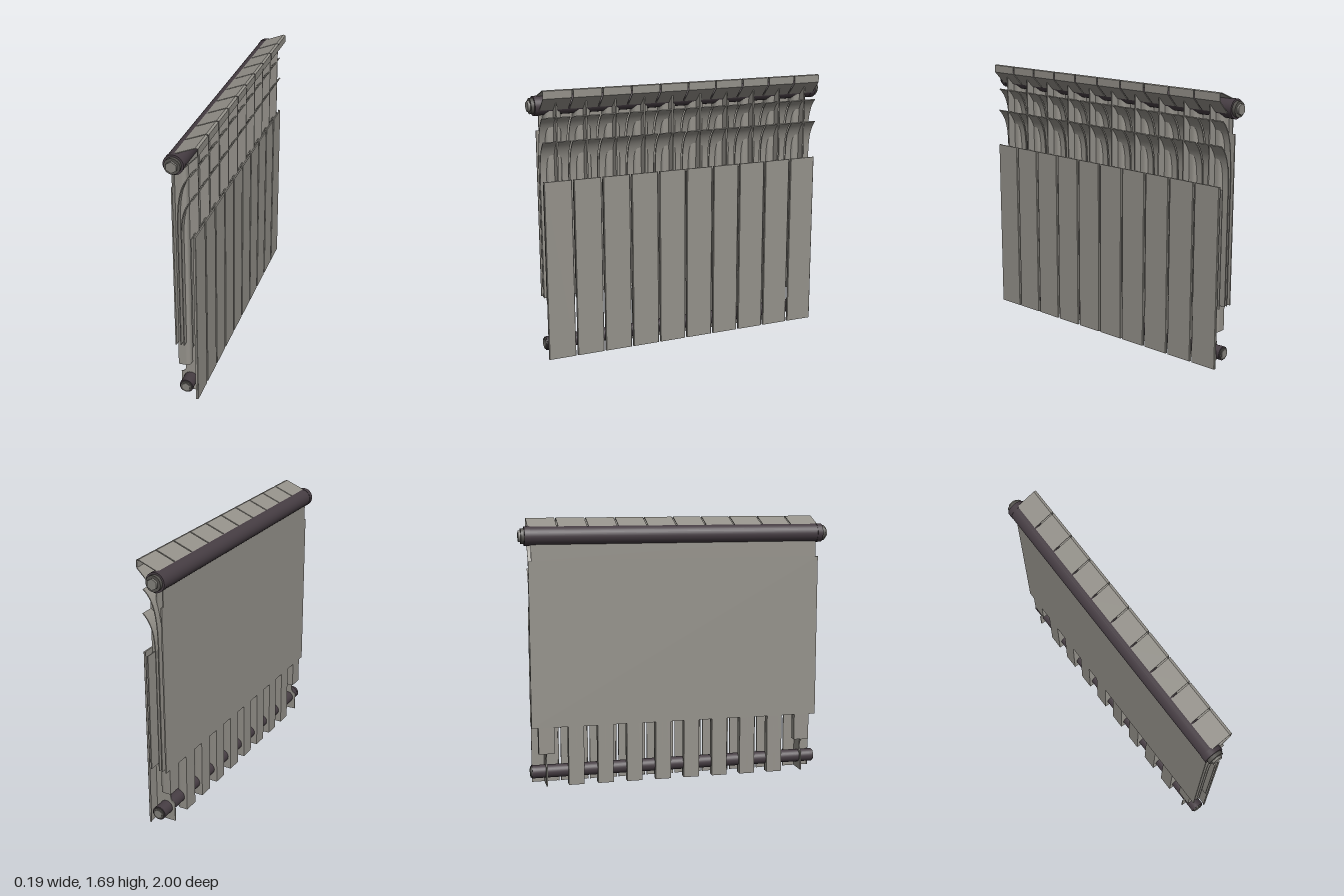
import * as THREE from 'three';
import { toCreasedNormals } from 'three/addons/utils/BufferGeometryUtils.js';

const V = (x, y) => new THREE.Vector2(x, y);
const COUNT = 10, PITCH = 0.189, WIDTH = 0.178;

// Extrude an (x, y) outline along z, centred on z = 0
function slab(points, width) {
  const g = new THREE.ExtrudeGeometry(new THREE.Shape(points), { depth: width, bevelEnabled: false });
  g.translate(0, 0, -width / 2);
  return toCreasedNormals(g, 0.5);
}

// Thin sheet of thickness t following an open (x, y) path
function sheet(points, t, width) {
  const a = [], b = [];
  points.forEach((p, i) => {
    const d = points[Math.min(i + 1, points.length - 1)].clone().sub(points[Math.max(i - 1, 0)]).normalize();
    a.push(V(p.x - d.y * t / 2, p.y + d.x * t / 2));
    b.push(V(p.x + d.y * t / 2, p.y - d.x * t / 2));
  });
  return slab([...a, ...b.reverse()], width);
}

// Extrude a plan outline (drawn as z, x) upwards from y0 to y1
function upright(plan, y0, y1) {
  const g = new THREE.ExtrudeGeometry(plan, { depth: y1 - y0, bevelEnabled: false, curveSegments: 6 });
  g.rotateX(-Math.PI / 2).rotateY(-Math.PI / 2).translate(0, y0, 0);
  return toCreasedNormals(g, 0.6);
}

export function createModel() {
  const model = new THREE.Group();
  model.name = 'radiator';
  const material = (name, color) => {
    const m = new THREE.MeshStandardMaterial({ color });
    m.name = name;
    return m;
  };
  const enamel = material('warm grey enamel', 0x94918a);
  const pipe = material('dark pipe', 0x463d43);
  const fitting = material('fitting grey', 0x55534f);
  const plugMat = material('plug grey', 0x85837d);

  const add = (parent, name, geo, mat, x = 0, y = 0, z = 0) => {
    const m = new THREE.Mesh(geo, mat);
    m.name = name;
    m.position.set(x, y, z);
    parent.add(m);
  };

  // Louver: curls from a vertical fin out to the front lip
  const louver = (xFin, yStart, xLip, yLip) => {
    const curve = new THREE.CubicBezierCurve(V(xFin, yStart),
      V(xFin, (yStart + yLip) / 2), V(xFin + 0.013, yLip - 0.058), V(xLip, yLip));
    return sheet([V(xFin, 0.38), ...curve.getPoints(14)], 0.006, WIDTH);
  };

  // Centre web with a small notch at the lower back
  const notch = new THREE.EllipseCurve(-0.06, 0.165, 0.03, 0.042, -Math.PI / 2, Math.PI / 2).getPoints(8).reverse();
  const web = slab([V(-0.06, 0), V(0.068, 0), V(0.068, 1.61), V(0.02, 1.56), V(-0.06, 1.56), ...notch], 0.008);

  // Vertical water channel, rounded at the front
  const plan = new THREE.Shape();
  plan.moveTo(-0.05, -0.06);
  plan.lineTo(0.05, -0.06);
  plan.lineTo(0.05, -0.015);
  plan.quadraticCurveTo(0.05, 0.013, 0.02, 0.013);
  plan.lineTo(-0.02, 0.013);
  plan.quadraticCurveTo(-0.05, 0.013, -0.05, -0.015);
  plan.closePath();
  const channel = upright(plan, 0, 1.56);
  const endChannel = upright(plan, 0.21, 1.56);

  // Front plate with slightly turned-back edges
  const front = upright(new THREE.Shape([V(-0.088, 0.06), V(-0.083, 0.06), V(-0.083, 0.066), V(0.083, 0.066),
    V(0.083, 0.06), V(0.088, 0.06), V(0.088, 0.072), V(0.085, 0.075), V(-0.085, 0.075), V(-0.088, 0.072)]), 0, 1.135);
  front.translate(0, 0, 0.004);

  const parts = {
    centreWeb: web,
    frontPlate: front,
    upperLouver: louver(-0.03, 1.15, 0.06, 1.52),
    lowerLouver: louver(-0.01, 1.1, 0.067, 1.375),
    innerFin: sheet([V(0.045, 0.38), V(0.045, 1.115)], 0.007, WIDTH),
    visor: sheet([V(-0.045, 1.636), V(0.083, 1.687), V(0.095, 1.685), V(0.095, 1.64), V(0.02, 1.563)], 0.005, 0.18),
  };
  for (let i = 0; i < COUNT; i++) {
    const section = new THREE.Group();
    section.name = 'section' + (i + 1);
    section.position.z = (i - (COUNT - 1) / 2) * PITCH;
    for (const [name, geo] of Object.entries(parts)) add(section, name, geo, enamel);
    // The outer sections have a shorter channel, leaving the notched web open
    add(section, 'waterChannel', i === 0 || i === COUNT - 1 ? endChannel : channel, enamel);
    model.add(section);
  }

  // Continuous back panel, narrowed near the top pipe
  add(model, 'backPanel', new THREE.BoxGeometry(0.008, 1.05, 1.886), enamel, -0.058, 0.905);
  add(model, 'backPanelTop', new THREE.BoxGeometry(0.008, 0.12, 1.85), enamel, -0.058, 1.49);

  // Header pipes along z
  const rod = (r, len, sides = 32) => new THREE.CylinderGeometry(r, r, len, sides).rotateX(Math.PI / 2);
  add(model, 'topPipe', rod(0.058, 1.9), pipe, -0.037, 1.583);
  add(model, 'bottomPipe', rod(0.042, 1.86), pipe, 0, 0.085);

  // End fittings on both ends of each pipe
  for (const s of [1, -1]) {
    add(model, 'topCollar', rod(0.06, 0.035), pipe, -0.037, 1.583, s * 0.947);
    add(model, 'topNut', rod(0.048, 0.025, 24), fitting, -0.037, 1.583, s * 0.973);
    add(model, 'topPlug', rod(0.034, 0.03, 6), plugMat, -0.037, 1.583, s * 0.985);
    add(model, 'bottomCollar', rod(0.043, 0.02), pipe, 0, 0.085, s * 0.932);
    add(model, 'bottomNut', rod(0.036, 0.01, 24), fitting, 0, 0.085, s * 0.944);
    add(model, 'bottomPlug', rod(0.027, 0.01, 6), plugMat, 0, 0.085, s * 0.947);
  }
  return model;
}
